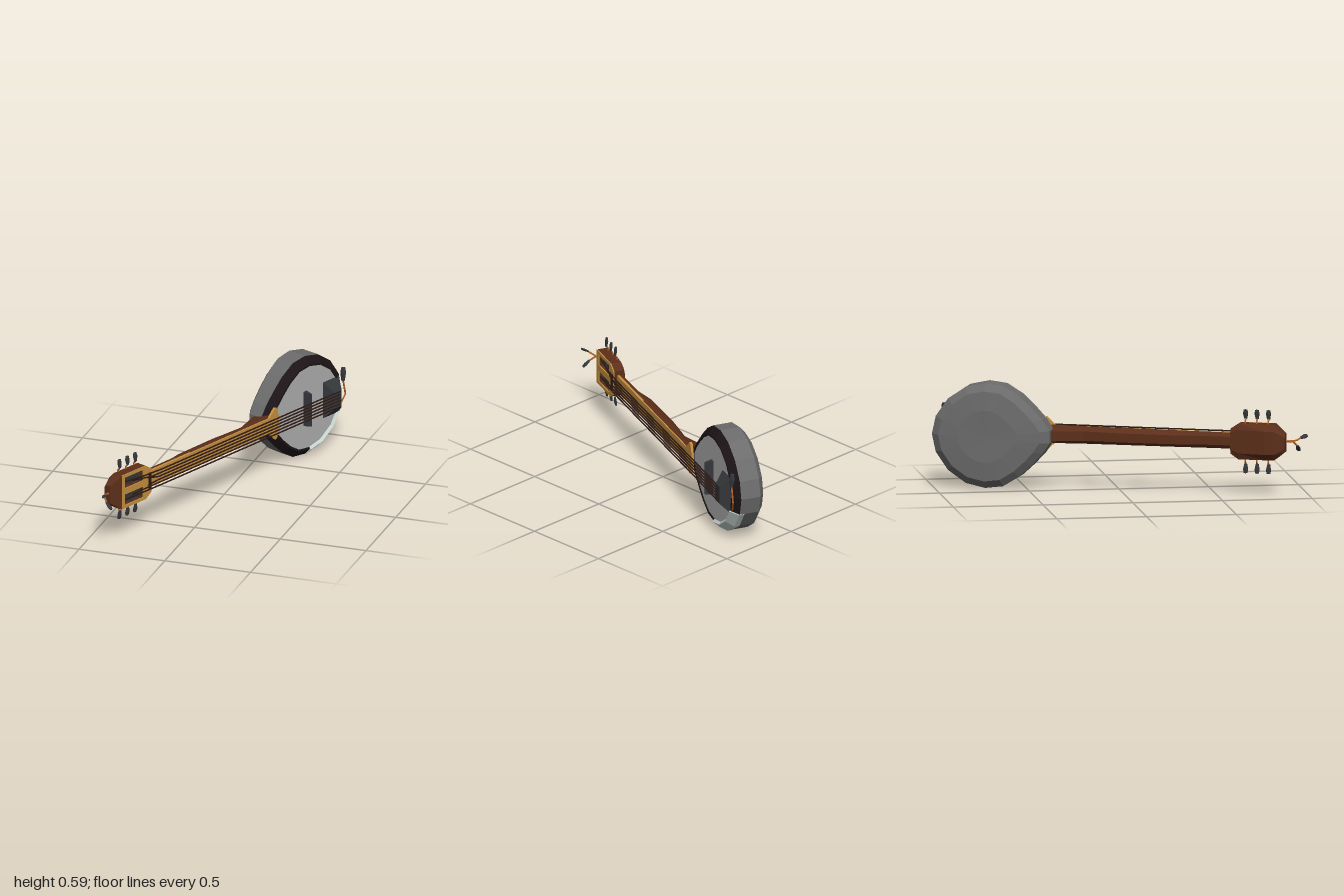
import * as THREE from 'three';

const mat = (color) => new THREE.MeshStandardMaterial({ color, flatShading: true, side: THREE.DoubleSide });
const GREY = mat(0x6c6c6c), BLACK = mat(0x1c1416), SKIN = mat(0xb0b0b0), WOOD = mat(0x5c2f1a), GOLD = mat(0xc8923f);
const STRING = mat(0x2e1a13), DARK = mat(0x34373a), COPPER = mat(0xb5652a), PALE = mat(0xc8d6d2);

// Joins rings of [x, y, z] points into a skin, with optional end caps
function loft(rings, caps = true) {
  const n = rings[0].length, pos = rings.flat(2), idx = [];
  for (let i = 0; i < rings.length - 1; i++)
    for (let j = 0; j < n; j++) {
      const k = (j + 1) % n, a = i * n + j, b = i * n + k;
      idx.push(a, b, b + n, a, b + n, a + n);
    }
  if (caps) [0, rings.length - 1].forEach((r, end) => {
    const c = pos.length / 3;
    pos.push(...[0, 1, 2].map((q) => rings[r].reduce((s, p) => s + p[q], 0) / n));
    for (let j = 0; j < n; j++) {
      const a = r * n + j, b = r * n + (j + 1) % n;
      idx.push(c, ...(end ? [a, b] : [b, a]));
    }
  });
  const g = new THREE.BufferGeometry();
  g.setAttribute('position', new THREE.Float32BufferAttribute(pos, 3));
  g.setIndex(idx);
  g.computeVertexNormals();
  return g;
}

export function createModel() {
  const model = new THREE.Group();
  model.name = 'banjo';
  // Instrument frame: +x towards the pot, +z out of the playing face
  const body = new THREE.Group();
  body.name = 'instrument';
  body.rotation.y = 1.176;
  body.position.y = 0.293;
  model.add(body);
  const add = (name, geo, material, parent = body) => {
    const m = new THREE.Mesh(geo, material);
    m.name = name;
    parent.add(m);
    return m;
  };
  const box = (name, w, h, d, x, y, z, material) =>
    add(name, new THREE.BoxGeometry(w, h, d), material).position.set(x, y, z);
  const wire = (name, pts, r, material, parent) => {
    const path = new THREE.CurvePath();
    const v = pts.map((p) => new THREE.Vector3(...p));
    for (let i = 1; i < v.length; i++) path.add(new THREE.LineCurve3(v[i - 1], v[i]));
    return add(name, new THREE.TubeGeometry(path, (v.length - 1) * 4, r, 5), material, parent);
  };

  // Egg-shaped pot outline, anticlockwise from the tail
  const half = [[1.022, 0], [1, 0.1], [0.93, 0.2], [0.83, 0.268], [0.72, 0.292], [0.62, 0.28],
    [0.53, 0.225], [0.46, 0.16], [0.4, 0.095], [0.36, 0.035]];
  const outline = [...half, ...half.slice(1).reverse().map(([x, y]) => [x, -y])];
  const ring = (s, z, taper = 0) => outline.map(([x, y]) => {
    const px = 0.71 + (x - 0.71) * s;
    return [px, y * s, z + Math.max(0, 0.7 - px) * taper];
  });
  add('potShell', loft([ring(0.5, -0.207, 0.08), ring(0.86, -0.196, 0.08), ring(1, -0.162, 0.08), ring(1, -0.048)]), GREY);
  add('rim', loft([ring(1, -0.048), ring(0.87, -0.01), ring(0.83, -0.01), ring(0.83, -0.03)], false), BLACK);
  add('drumHead', loft([ring(0.84, -0.03), ring(0.84, -0.015)]), SKIN);

  // Pale arm rest over the lower tail side of the rim
  const levels = [ring(1.005, -0.075), ring(1.01, -0.044), ring(0.87, 0), ring(0.82, -0.012)];
  add('armRest', loft([15, 16, 17, 18].map((i) => levels.map((l) => l[i]))), PALE);

  // Neck with a heel that swells into the pot: [x, depth of back, half width]
  const neck = [[-0.67, -0.034, 0.043], [-0.445, -0.038, 0.044], [-0.314, -0.062, 0.045],
    [-0.028, -0.066, 0.046], [0.19, -0.052, 0.047], [0.38, -0.112, 0.05]];
  add('neck', loft(neck.map(([x, b, w]) => [[x, w, -0.02], [x, w, 0.003], [x, -w, 0.003],
    [x, -w, -0.02], [x, -w * 0.55, b], [x, w * 0.55, b]])), WOOD);

  // Fingerboard flaring out where it meets the drum head
  const poly = (pts) => new THREE.Shape(pts.map(([x, y]) => new THREE.Vector2(x, y)));
  const board = [[-0.66, -0.044], [0.36, -0.047], [0.41, -0.095], [0.425, -0.09], [0.44, -0.04]];
  const mirrorY = (pts) => [...pts, ...pts.slice().reverse().map(([x, y]) => [x, -y])];
  const boardGeo = new THREE.ExtrudeGeometry(poly(mirrorY(board)), { depth: 0.014, bevelEnabled: false });
  add('fingerboard', boardGeo.translate(0, 0, -0.003), GOLD);

  // Peg head: back block, slotted frame, gold face and sloping tip
  const block = (x, w, b, t) => [[x, w, -0.03], [x, w, t], [x, -w, t], [x, -w, -0.03], [x, -w * 0.65, b], [x, w * 0.65, b]];
  add('pegHeadBack', loft([block(-0.885, 0.1, -0.06, 0), block(-0.84, 0.1, -0.066, 0),
    block(-0.685, 0.1, -0.045, 0), block(-0.64, 0.07, -0.036, 0)]), WOOD);
  add('pegHeadTip', loft([block(-0.95, 0.05, -0.038, 0.004), block(-0.885, 0.1, -0.06, 0.033)]), WOOD);
  const face = poly(mirrorY([[-0.885, -0.1], [-0.685, -0.1], [-0.64, -0.07]]));
  for (const s of [-1, 1])
    face.holes.push(new THREE.Path([[-0.86, 0.018], [-0.705, 0.018], [-0.705, 0.082], [-0.86, 0.082]]
      .map(([x, y]) => new THREE.Vector2(x, y * s))));
  const slab = (z, depth) => new THREE.ExtrudeGeometry(face, { depth, bevelEnabled: false }).translate(0, 0, z);
  add('pegHeadFrame', slab(0, 0.027), WOOD);
  add('pegHeadFace', slab(0.027, 0.006), GOLD);
  for (const s of [-1, 1]) box('slotFloor', 0.155, 0.064, 0.004, -0.7825, s * 0.05, 0.001, DARK);
  box('nut', 0.014, 0.1, 0.02, -0.655, 0, 0.03, STRING);

  // Tuning peg: bent stem and a flat faceted paddle at its end
  const paddleGeo = new THREE.LatheGeometry([[0, -0.5], [0.3, -0.45], [0.5, 0.1], [0.35, 0.45], [0, 0.5]]
    .map((p) => new THREE.Vector2(...p)), 6);
  const peg = (name, stem, dir, size) => {
    const g = new THREE.Group();
    g.name = name;
    body.add(g);
    wire('stem', stem, 0.005, COPPER, g);
    const d = new THREE.Vector3(...dir).normalize();
    const p = add('paddle', paddleGeo, DARK, g);
    p.scale.set(...size);
    p.quaternion.setFromUnitVectors(new THREE.Vector3(0, 1, 0), d);
    p.position.set(...stem[stem.length - 1]).addScaledVector(d, size[1] * 0.42);
  };
  const rows = [-0.722, -0.787, -0.852];
  for (const x of rows) for (const s of [-1, 1]) {
    peg('sidePeg', [[x, s * 0.09, -0.024], [x, s * 0.112, -0.024], [x, s * 0.128, -0.01]],
      [0, s, -0.12], [0.032, 0.056, 0.016]);
    const post = add('stringPost', new THREE.CylinderGeometry(0.007, 0.007, 0.066, 6), DARK);
    post.position.set(x, s * 0.05, 0.014);
  }
  peg('tipPegUpper', [[-0.94, 0.007, -0.01], [-1.006, 0.012, 0.002], [-1.026, 0.025, 0.024]], [-0.7, 0.25, 0.75], [0.028, 0.05, 0.014]);
  peg('tipPegLower', [[-0.95, 0.005, -0.006], [-0.988, 0.007, -0.006], [-1.005, -0.02, 0.027]], [0, -0.65, 0.75], [0.028, 0.056, 0.014]);
  peg('tailPeg', [[0.96, -0.093, -0.02], [1.008, -0.013, -0.004], [0.988, 0.075, -0.004]], [0.05, 1, -0.04], [0.034, 0.085, 0.034]);

  // Bridge, narrowing towards the strings
  const rect = (x0, x1, w, z) => [[x0, -w, z], [x1, -w, z], [x1, w, z], [x0, w, z]];
  add('bridge', loft([rect(0.67, 0.7, 0.102, -0.018), rect(0.681, 0.69, 0.096, 0.033)]), DARK);
  // Wedge-shaped tailpiece
  add('tailpiece', loft([rect(0.83, 0.965, 0.11, -0.018), rect(0.868, 0.925, 0.05, 0.042)]), DARK);

  // Strings from the tailpiece over bridge and nut to the posts
  for (let i = 0; i < 6; i++) {
    const y = (i - 2.5) * 0.0182, s = Math.sign(y);
    const k = i < 3 ? i : 5 - i;
    wire('string', [[0.915, y, 0.04], [0.685, y, 0.038], [-0.655, y, 0.042], [rows[2 - k], s * (0.03 + 0.012 * (2 - k)), 0.022]], 0.0045, STRING);
  }
  return model;
}
